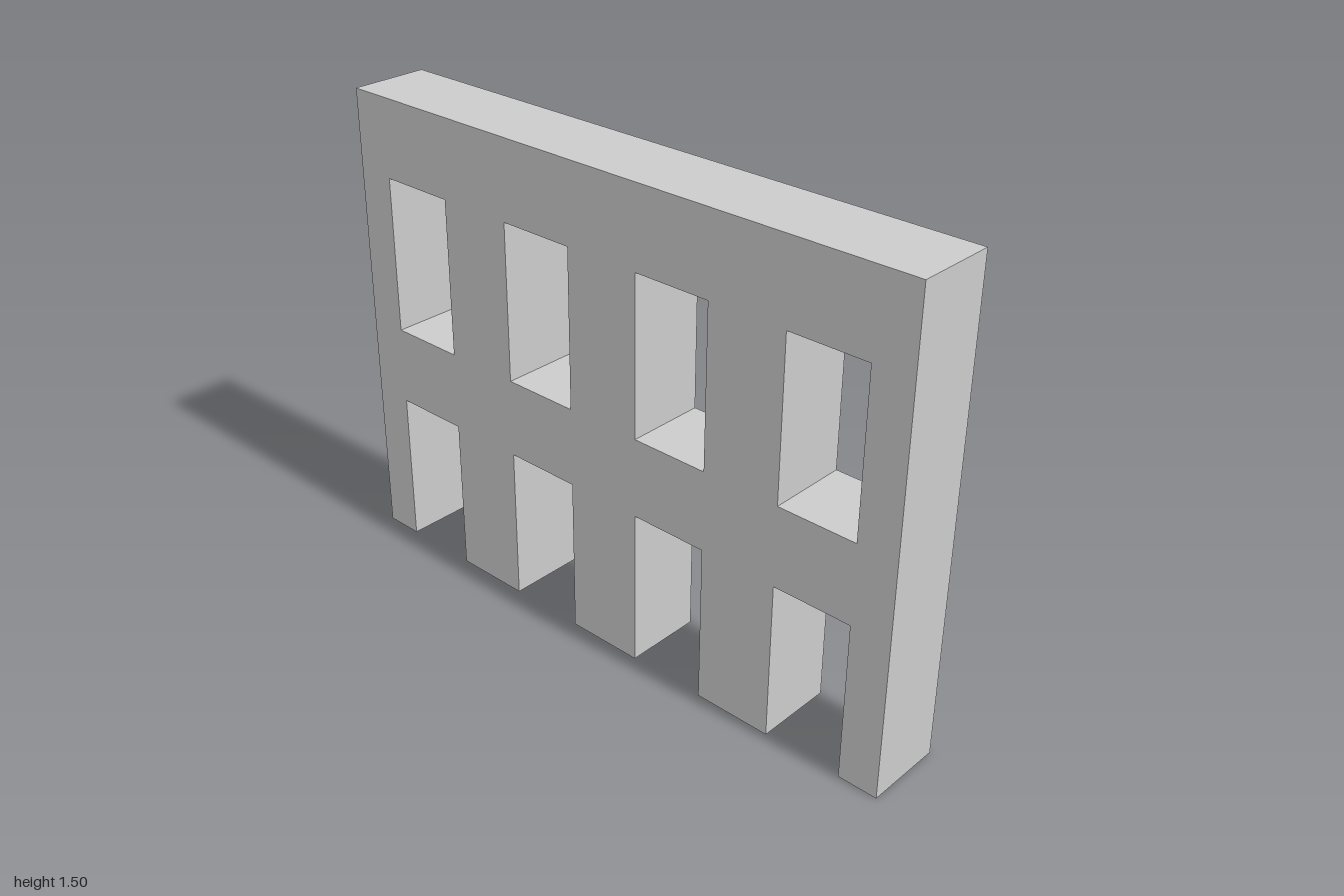
import * as THREE from 'three';

const WIDTH = 2, HEIGHT = 1.5, DEPTH = 0.25;
const BAYS = [-0.75, -0.25, 0.25, 0.75]; // centre of each column of openings
const HALF = 0.125;                      // half the width of an opening
const DOOR_TOP = 0.5, SILL = 0.75, LINTEL = 1.25;

export function createModel() {
  const group = new THREE.Group();
  group.name = 'arcadeWall';

  // Outline, notched along the bottom by the doorways
  const outline = new THREE.Shape();
  outline.moveTo(-WIDTH / 2, 0);
  for (const x of BAYS) {
    outline.lineTo(x - HALF, 0);
    outline.lineTo(x - HALF, DOOR_TOP);
    outline.lineTo(x + HALF, DOOR_TOP);
    outline.lineTo(x + HALF, 0);
  }
  outline.lineTo(WIDTH / 2, 0);
  outline.lineTo(WIDTH / 2, HEIGHT);
  outline.lineTo(-WIDTH / 2, HEIGHT);
  outline.closePath();

  // Windows above the doorways
  for (const x of BAYS) {
    const hole = new THREE.Path();
    hole.moveTo(x - HALF, SILL);
    hole.lineTo(x - HALF, LINTEL);
    hole.lineTo(x + HALF, LINTEL);
    hole.lineTo(x + HALF, SILL);
    hole.closePath();
    outline.holes.push(hole);
  }

  const geometry = new THREE.ExtrudeGeometry(outline, { depth: DEPTH, bevelEnabled: false });
  geometry.translate(0, 0, -DEPTH / 2);

  const wall = new THREE.Mesh(
    geometry,
    new THREE.MeshStandardMaterial({ color: 0xcccccc, flatShading: true })
  );
  wall.name = 'wall';
  group.add(wall);
  return group;
}
